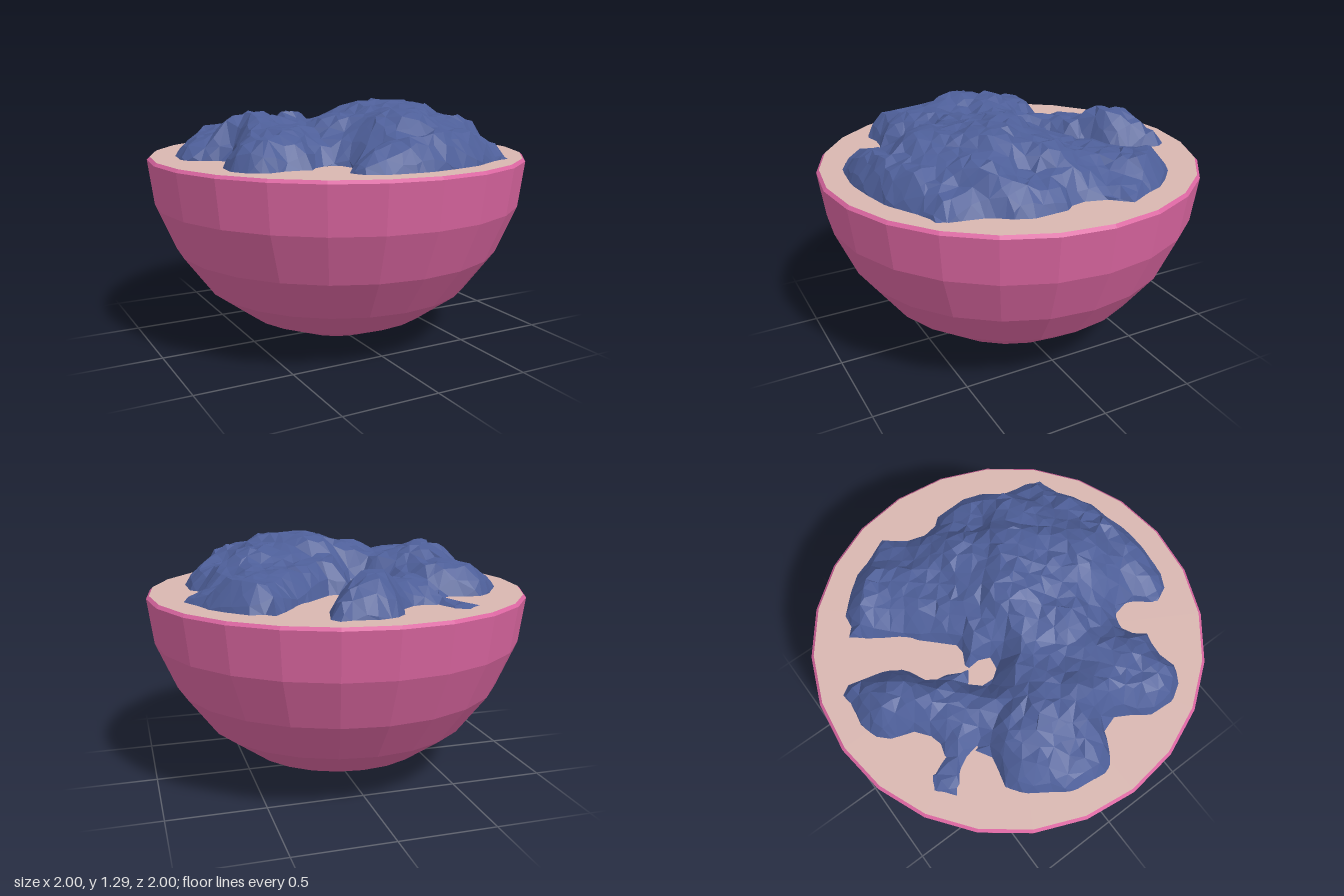
import * as THREE from 'three';

// Outline of the heap seen from above, as x, z pairs
const OUTLINE = [
  0.23, -0.85, 0.26, -0.8, 0.21, -0.6, 0.15, -0.52, 0.02, -0.46, 0.01, -0.36, -0.05, -0.35,
  0.01, -0.25, 0.1, -0.24, 0.25, -0.39, 0.3, -0.42, 0.38, -0.55, 0.47, -0.66, 0.5, -0.62,
  0.58, -0.61, 0.68, -0.51, 0.74, -0.43, 0.78, -0.33, 0.84, -0.21, 0.76, -0.14, 0.71, 0.03,
  0.77, 0.1, 0.78, 0.28, 0.74, 0.37, 0.68, 0.45, 0.63, 0.68, 0.55, 0.69, 0.33, 0.81,
  0.2, 0.84, 0.02, 0.87, -0.2, 0.85, -0.28, 0.81, -0.32, 0.72, -0.23, 0.61, -0.22, 0.53,
  -0.28, 0.48, -0.36, 0.49, -0.42, 0.57, -0.52, 0.54, -0.64, 0.57, -0.72, 0.52, -0.77, 0.44,
  -0.76, 0.3, -0.68, 0.2, -0.64, 0.09, -0.72, 0.06, -0.83, 0, -0.85, -0.06, -0.83, -0.23,
  -0.7, -0.42, -0.62, -0.48, -0.5, -0.45, -0.37, -0.43, -0.4, -0.58, -0.53, -0.68, -0.41, -0.77,
  -0.36, -0.73, -0.37, -0.67, -0.3, -0.6, -0.22, -0.61, -0.14, -0.66, -0.1, -0.78, -0.04, -0.84,
  0.05, -0.86, 0.16, -0.84,
];
const HOLE = [-0.08, -0.33, -0.01, -0.24, -0.07, -0.1, -0.17, -0.24];

// Heights above the filling: x, z, height
const PEAKS = [
  [0.12, 0.1, 0.28], [0.3, 0.25, 0.28], [0.1, 0.5, 0.25], [-0.13, 0.25, 0.22], [0.42, 0.05, 0.22],
  [0.45, 0.4, 0.21], [0.62, 0.2, 0.11], [0.55, 0.58, 0.1], [0, 0.75, 0.14], [0.28, 0.7, 0.15],
  [-0.2, 0.72, 0.1], [-0.25, 0.4, 0.12], [-0.28, 0.1, 0.16], [-0.53, 0.05, 0.23], [-0.42, -0.08, 0.22],
  [-0.5, -0.3, 0.15], [-0.72, -0.15, 0.1], [-0.6, 0.38, 0.14], [-0.45, 0.28, 0.18], [-0.25, -0.3, 0.1],
  [-0.22, -0.5, 0.1], [0, -0.62, 0.18], [0.13, -0.74, 0.13], [-0.42, -0.68, 0.04],
  [0.38, -0.46, 0.12], [0.55, -0.35, 0.14], [0.7, -0.22, 0.07], [0.35, -0.2, 0.14], [0.1, -0.12, 0.17],
];

const toPoints = (flat) =>
  Array.from({ length: flat.length / 2 }, (_, i) => new THREE.Vector2(flat[2 * i], flat[2 * i + 1]));
const RINGS = [toPoints(OUTLINE), toPoints(HOLE)];

// Even-odd test over both rings, plus the closest point on any edge
function locate(p) {
  let inside = false, best = Infinity;
  const nearest = new THREE.Vector2(), q = new THREE.Vector2();
  for (const ring of RINGS) {
    ring.forEach((a, i) => {
      const b = ring[(i + 1) % ring.length];
      if ((a.y > p.y) !== (b.y > p.y) && p.x < a.x + ((b.x - a.x) * (p.y - a.y)) / (b.y - a.y)) inside = !inside;
      const ex = b.x - a.x, ez = b.y - a.y;
      const t = ((p.x - a.x) * ex + (p.y - a.y) * ez) / (ex * ex + ez * ez);
      q.lerpVectors(a, b, THREE.MathUtils.clamp(t, 0, 1));
      const d = q.distanceTo(p);
      if (d < best) { best = d; nearest.copy(q); }
    });
  }
  return { inside, distance: best, nearest };
}

// Smooth blend of the peak heights
function heightAt(x, z) {
  let sum = 0, total = 0;
  for (const [px, pz, h] of PEAKS) {
    const w = 1 / ((x - px) ** 2 + (z - pz) ** 2 + 0.004) ** 2;
    sum += w * h;
    total += w;
  }
  return sum / total;
}

// Rough grid clipped to the outline, its rim pulled onto the filling
function heapGeometry() {
  let seed = 7;
  const jitter = (size) => {
    seed = (seed * 16807) % 2147483647;
    return (seed / 2147483647 - 0.5) * size;
  };
  const n = 34, step = 1.8 / n, positions = [], insideFlags = [], index = [];
  for (let j = 0; j <= n; j++) {
    for (let i = 0; i <= n; i++) {
      const p = new THREE.Vector2(-0.9 + i * step + jitter(0.03), -0.9 + j * step + jitter(0.03));
      const { inside, distance, nearest } = locate(p);
      insideFlags.push(inside);
      if (inside) {
        const taper = Math.min(1, distance / 0.1) ** 0.7;
        positions.push(p.x, 1 + taper * (heightAt(p.x, p.y) + jitter(0.025)), p.y);
      } else {
        positions.push(nearest.x, 0.995, nearest.y);
      }
    }
  }
  const addFace = (...f) => { if (f.some((v) => insideFlags[v])) index.push(...f); };
  for (let j = 0; j < n; j++) {
    for (let i = 0; i < n; i++) {
      const a = j * (n + 1) + i, b = a + 1, c = a + n + 1, d = c + 1;
      if ((i + j) % 2) { addFace(a, c, b); addFace(b, c, d); }
      else { addFace(a, c, d); addFace(a, d, b); }
    }
  }
  const geometry = new THREE.BufferGeometry();
  geometry.setAttribute('position', new THREE.Float32BufferAttribute(positions, 3));
  geometry.setIndex(index);
  geometry.computeVertexNormals();
  return geometry;
}

export function createModel() {
  const model = new THREE.Group();
  const add = (name, geometry, color) => {
    const material = new THREE.MeshStandardMaterial({ color, flatShading: true, side: THREE.DoubleSide });
    const mesh = new THREE.Mesh(geometry, material);
    mesh.name = name;
    model.add(mesh);
    return mesh;
  };

  // Faceted half-round bowl with a thin bevelled rim
  const profile = toPoints([0, 0, 0.26, 0.04, 0.5, 0.14, 0.71, 0.295, 0.866, 0.505, 0.97, 0.75, 1, 0.985, 0.985, 1]);
  add('bowl', new THREE.LatheGeometry(profile, 24), 0xd9659f);

  // Flat filling, flush with the rim
  const filling = add('filling', new THREE.CircleGeometry(0.985, 24), 0xd8b6b0);
  filling.rotation.x = -Math.PI / 2;
  filling.position.y = 1;

  // Lumpy heap on top
  add('heap', heapGeometry(), 0x4d5e98);
  return model;
}
